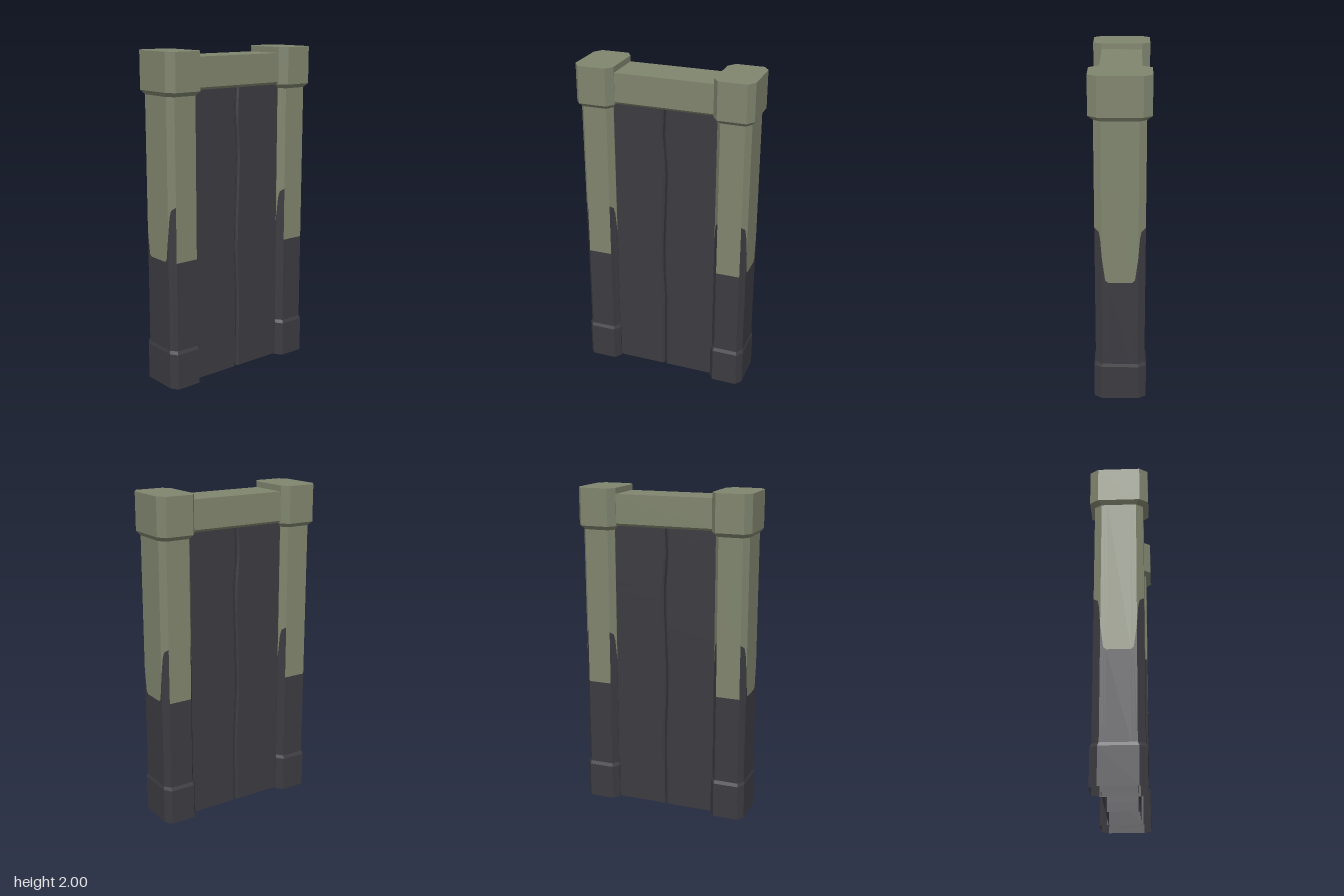
import * as THREE from 'three';

const olive = new THREE.MeshStandardMaterial({ color: 0x80856e, side: THREE.DoubleSide });
olive.name = 'olive stone';
const dark = new THREE.MeshStandardMaterial({ color: 0x3c3b41, side: THREE.DoubleSide });
dark.name = 'dark charcoal';

// Skin a stack of closed rings, listed bottom to top; each ring runs from +x towards +z
function loft(name, rings, material, { top = false, bottom = false } = {}) {
  const pos = [];
  const tri = (...pts) => pts.forEach((p) => pos.push(...p));
  for (let r = 0; r < rings.length - 1; r++) {
    const lo = rings[r], hi = rings[r + 1];
    lo.forEach((a, i) => {
      const j = (i + 1) % lo.length;
      if (a[0] === lo[j][0] && a[2] === lo[j][2]) return;
      tri(a, hi[i], hi[j]);
      tri(a, hi[j], lo[j]);
    });
  }
  const lid = (ring, up) => {
    for (let i = 1; i < ring.length - 1; i++) {
      if (up) tri(ring[0], ring[i + 1], ring[i]);
      else tri(ring[0], ring[i], ring[i + 1]);
    }
  };
  if (top) lid(rings[rings.length - 1], true);
  if (bottom) lid(rings[0], false);
  const geometry = new THREE.BufferGeometry();
  geometry.setAttribute('position', new THREE.Float32BufferAttribute(pos, 3));
  geometry.computeVertexNormals();
  const mesh = new THREE.Mesh(geometry, material);
  mesh.name = name;
  return mesh;
}

// Rectangle with cut corners
function octagon(y, hx, hz, cx, cz) {
  return [
    [hx, -hz + cz], [hx, hz - cz], [hx - cx, hz], [-hx + cx, hz],
    [-hx, hz - cz], [-hx, -hz + cz], [-hx + cx, -hz], [hx - cx, -hz],
  ].map(([x, z]) => [x, y, z]);
}

const shaftSize = [0.102, 0.146, 0.029, 0.042];
const capSize = [0.12, 0.176, 0.035, 0.05];
const baseSize = [0.108, 0.156, 0.03, 0.044];

// Quarter outline of the shaft as [x, z, height where the two colours meet]
const quarter = [
  [0.102, 0.07, 0.785], [0.102, 0.086, 0.8], [0.102, 0.104, 0.94],
  [0.096, 0.113, 1.06], [0.09, 0.121, 1.1], [0.073, 0.146, 1.12], [0.073, 0.146, 0.785],
];

function shaftOutline() {
  const flip = (pts, sx, sz) => pts.map(([x, z, b]) => [x * sx, z * sz, b]);
  const back = [...quarter].reverse();
  return [
    ...quarter, ...flip(back, -1, 1), ...flip(quarter, -1, -1), ...flip(back, 1, -1),
  ];
}

function post(name, x) {
  const group = new THREE.Group();
  group.name = name;
  const outline = shaftOutline();
  const level = (y) => outline.map(([px, pz]) => [px, y, pz]);
  const seam = outline.map(([px, pz, b]) => [px, b, pz]);
  group.add(
    loft('base', [octagon(0, ...baseSize), octagon(0.22, ...baseSize), octagon(0.24, ...shaftSize)], dark),
    loft('lowerShaft', [level(0.23), seam], dark),
    loft('upperShaft', [seam, level(1.76)], olive),
    loft('cap', [octagon(1.75, ...shaftSize), octagon(1.775, ...capSize), octagon(2, ...capSize)], olive, { top: true }),
  );
  group.position.x = x;
  return group;
}

// Wavy line along which the two leaves meet
const seamCurve = new THREE.SplineCurve([
  [-0.003, 0], [0, 0.45], [-0.011, 0.82], [0.004, 1.34], [-0.009, 1.6], [-0.002, 1.79],
].map(([x, y]) => new THREE.Vector2(x, y)));

function leaf(name, side) {
  const rings = seamCurve.getPoints(30).map(({ x, y }) => {
    const edge = x + side * 0.005;
    const inner = edge + side * 0.01;
    const outer = side * 0.4;
    const ring = [
      [outer, y, -0.1], [outer, y, 0.1], [inner, y, 0.1],
      [edge, y, 0.09], [edge, y, -0.09], [inner, y, -0.1],
    ];
    return side > 0 ? ring : ring.reverse();
  });
  return loft(name, rings, dark);
}

export function createModel() {
  const model = new THREE.Group();
  model.name = 'gateway';

  // Posts and door leaves
  model.add(post('leftPost', 0.421), post('rightPost', -0.421));
  model.add(leaf('leftDoorLeaf', 1), leaf('rightDoorLeaf', -1));

  // Lintel with a bevelled lower edge
  const bar = (y, hz) => [[0.33, y, -hz], [0.33, y, hz], [-0.33, y, hz], [-0.33, y, -hz]];
  model.add(loft('lintel', [bar(1.775, 0.108), bar(1.79, 0.123), bar(1.965, 0.123)], olive, { top: true, bottom: true }));

  return model;
}
